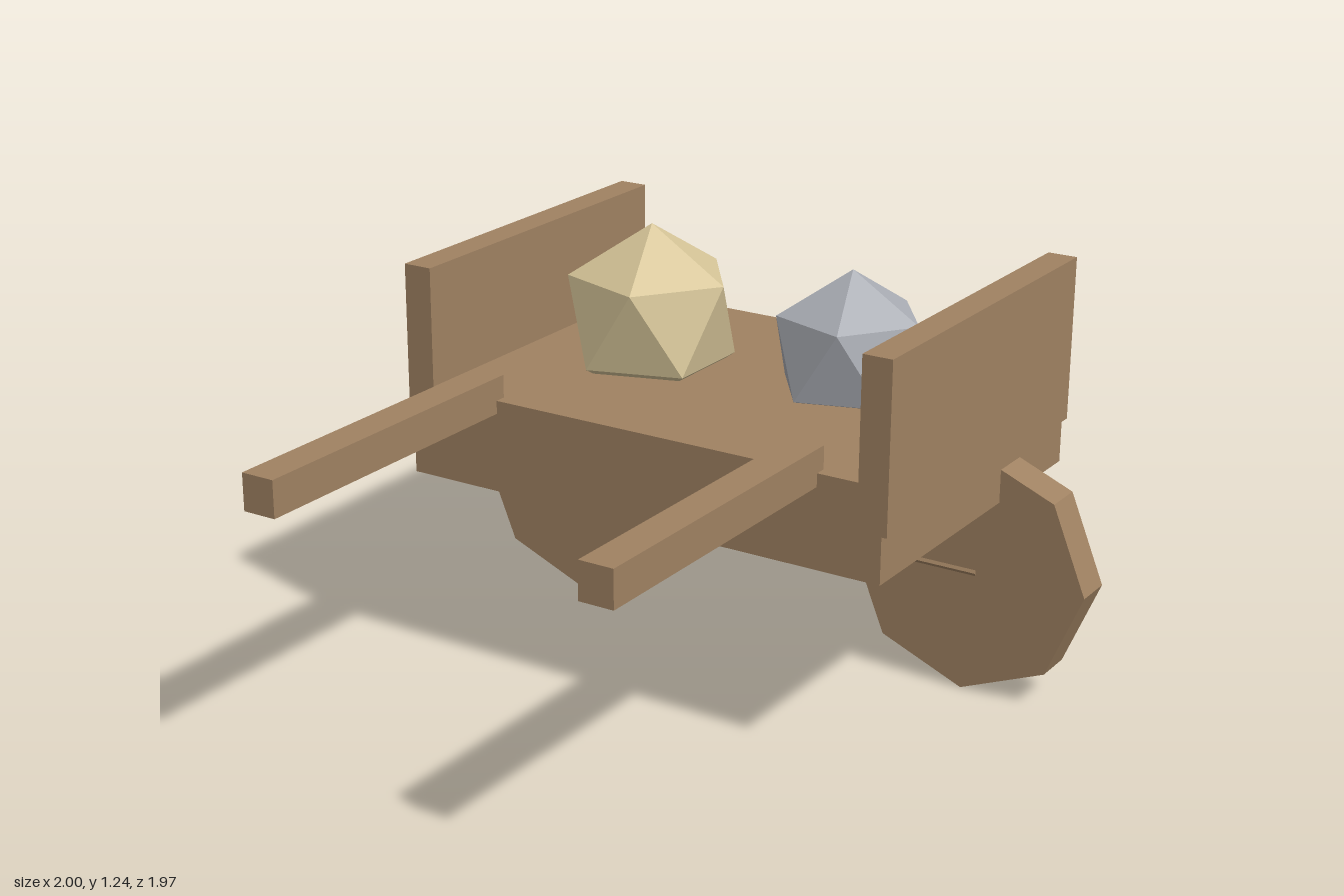
import * as THREE from 'three';

const material = (name, color) => {
  const m = new THREE.MeshStandardMaterial({ color, flatShading: true });
  m.name = name;
  return m;
};

export function createModel() {
  const wood = material('wood', 0xa08262);
  const sand = material('paleStone', 0xd6c598);
  const grey = material('greyStone', 0xaaadb4);
  const cart = new THREE.Group();
  cart.name = 'handcart';

  const add = (name, geometry, mat, x, y, z) => {
    const mesh = new THREE.Mesh(geometry, mat);
    mesh.name = name;
    mesh.position.set(x, y, z);
    cart.add(mesh);
  };

  // box given by its lower and upper limits on each axis
  const box = (name, [x0, x1], [y0, y1], [z0, z1]) =>
    add(name, new THREE.BoxGeometry(x1 - x0, y1 - y0, z1 - z0), wood,
      (x0 + x1) / 2, (y0 + y1) / 2, (z0 + z1) / 2);

  // bed
  const bedZ = [-0.985, 0.073];
  box('bed', [-0.735, 0.735], [0.577, 0.84], bedZ);

  // side boards, handles and wheels, mirrored left and right
  for (const [side, s] of [['left', 1], ['right', -1]]) {
    const span = (a, b) => (s > 0 ? [a, b] : [-b, -a]);
    box(side + 'SideBoard', span(0.665, 0.75), [0.708, 1.177], bedZ);
    box(side + 'Handle', span(0.45, 0.547), [0.803, 0.905], [0.04, 0.985]);
    const wheel = new THREE.CylinderGeometry(0.355, 0.355, 0.116, 8).rotateX(Math.PI / 2);
    add(side + 'Wheel', wheel, wood, s * 0.645, 0.355, -0.661);
  }

  // six-sided axle whose edges just break through the wheel faces
  const axle = new THREE.CylinderGeometry(0.063, 0.063, 1.35, 6).rotateZ(Math.PI / 2);
  add('axle', axle, wood, 0, 0.355, -0.661);

  // cargo stones, each with one corner pointing straight up
  const tilt = -Math.atan(2 / (1 + Math.sqrt(5)));
  const stone = (name, r, mat, x, y, z) =>
    add(name, new THREE.IcosahedronGeometry(r, 0).rotateZ(tilt), mat, x, y, z);
  stone('largeStone', 0.263, sand, -0.296, 0.973, -0.459);
  stone('smallStone', 0.231, grey, 0.293, 0.945, -0.55);

  return cart;
}
